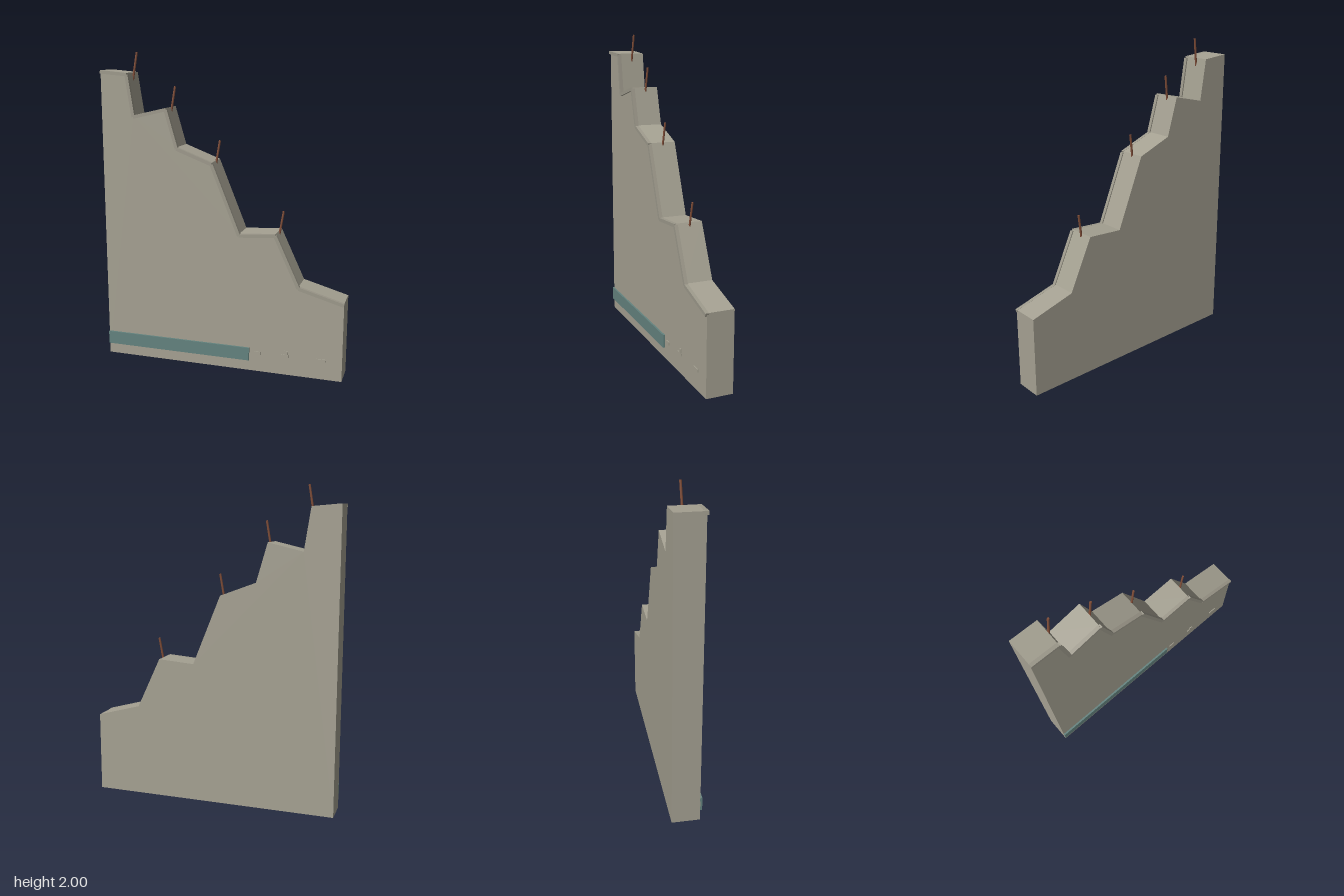
import * as THREE from 'three';

const mat = (name, color) => {
  const m = new THREE.MeshStandardMaterial({ color });
  m.name = name;
  return m;
};

export function createModel() {
  const group = new THREE.Group();
  const concrete = mat('concrete', 0xa5a192);
  const edgeConcrete = mat('edge concrete', 0x9d998b);
  const teal = mat('faded teal', 0x64837f);
  const rust = mat('rusty steel', 0x84503a);

  const add = (name, geometry, material, x = 0, y = 0, z = 0) => {
    const mesh = new THREE.Mesh(geometry, material);
    mesh.name = name;
    mesh.position.set(x, y, z);
    group.add(mesh);
    return mesh;
  };

  // Broken upper edge of the wall, from high to low
  const edge = [
    [-0.79, 1.89], [-0.612, 1.875], [-0.572, 1.614], [-0.355, 1.665], [-0.285, 1.424],
    [-0.058, 1.338], [0.12, 0.899], [0.352, 0.915], [0.503, 0.592], [0.787, 0.512],
  ];

  // Wall slab
  const outline = new THREE.Shape([[-0.79, 0], [0.787, 0], ...edge.slice().reverse()]
    .map(([x, y]) => new THREE.Vector2(x, y)));
  add('wallSlab', new THREE.ExtrudeGeometry(outline, { depth: 0.171, bevelEnabled: false }),
    concrete, 0, 0, -0.091);

  // Thin lip following the broken edge on the front
  for (let i = 0; i < edge.length - 1; i++) {
    const [x0, y0] = edge[i], [x1, y1] = edge[i + 1];
    const lip = add('edgeLip', new THREE.BoxGeometry(Math.hypot(x1 - x0, y1 - y0), 0.021, 0.022),
      edgeConcrete, (x0 + x1) / 2, (y0 + y1) / 2 - 0.0105, 0.08);
    lip.rotation.z = Math.atan2(y1 - y0, x1 - x0);
  }

  // Painted band near the base
  add('paintedBand', new THREE.BoxGeometry(0.982, 0.085, 0.014), teal, -0.299, 0.112, 0.085);

  // Small chips on the front: x, y, width, height
  for (const [x, y, w, h] of [
    [0.245, 0.123, 0.04, 0.02], [0.426, 0.127, 0.05, 0.018],
    [0.434, 0.149, 0.022, 0.026], [0.656, 0.126, 0.055, 0.018],
  ]) add('chip', new THREE.BoxGeometry(w, h, 0.012), concrete, x, y, 0.08);

  // Bent reinforcement rods: top x, top y, height
  for (const [x, y, h] of [
    [-0.582, 2, 0.19], [-0.328, 1.792, 0.165], [-0.034, 1.465, 0.16], [0.38, 1.04, 0.158],
  ]) {
    const top = new THREE.Vector3(x, y, -0.016);
    const bottom = new THREE.Vector3(x - h * 0.16, y - h, -0.008);
    const dir = top.clone().sub(bottom);
    const rod = add('reinforcementRod', new THREE.CylinderGeometry(0.007, 0.007, dir.length(), 6), rust);
    rod.position.copy(top).add(bottom).multiplyScalar(0.5);
    rod.quaternion.setFromUnitVectors(new THREE.Vector3(0, 1, 0), dir.normalize());
  }

  return group;
}
